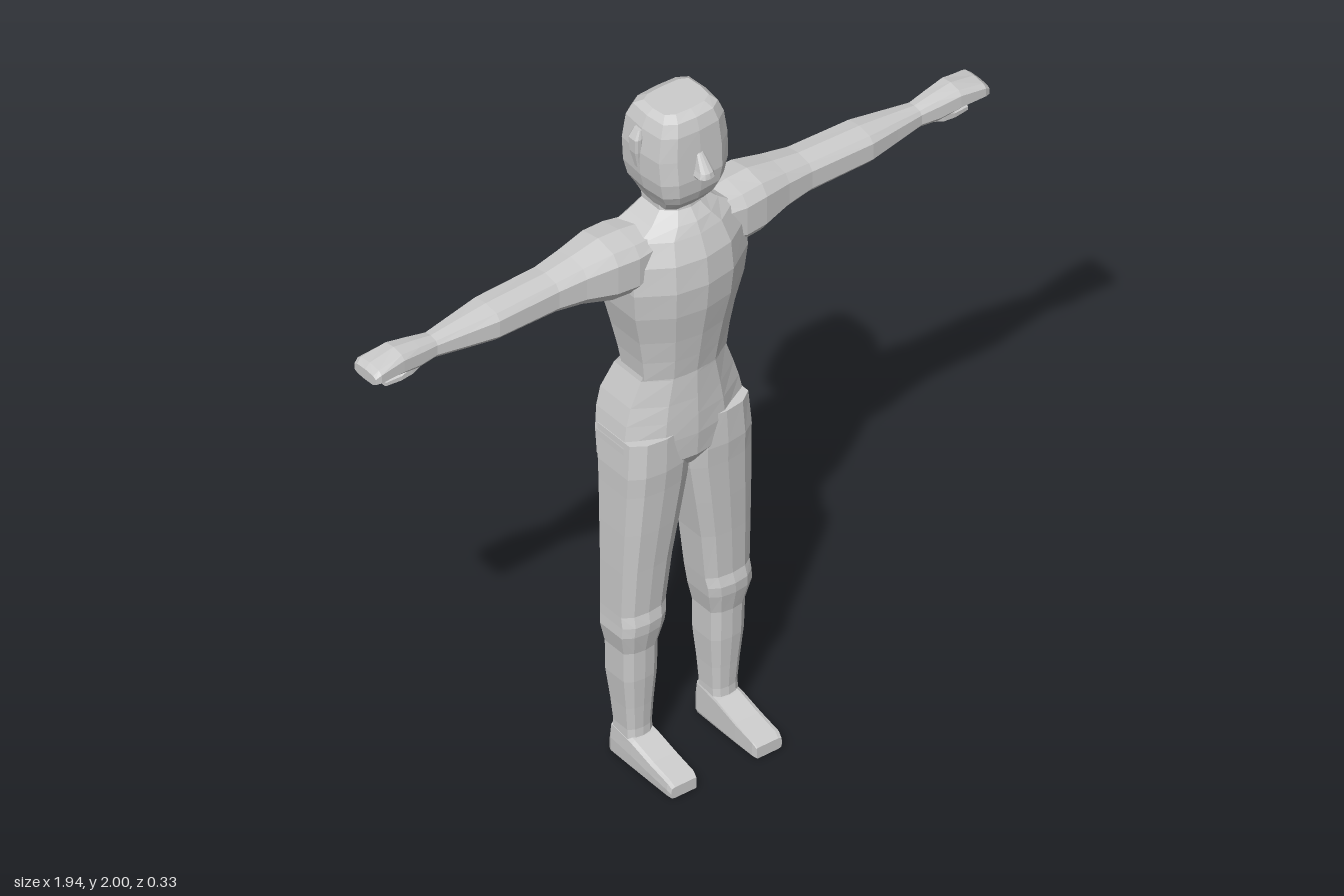
import * as THREE from 'three';

const material = new THREE.MeshStandardMaterial({ color: 0xcccccc, flatShading: true });

// Half outlines in unit (u, v), from u = +1 round to u = -1; mirrored across v.
const OUTLINES = {
  trunk: [[1, 0], [0.88, 0.5], [0.4, 1], [-0.75, 1], [-1, 0.5], [-0.93, 0]],
  limb: [[1, 0], [0.92, 0.6], [0.65, 1], [-0.7, 1], [-0.96, 0.6], [-1, 0]],
  arm: [[1, 0], [0.85, 0.75], [0.5, 1], [-0.5, 1], [-0.9, 0.7], [-1, 0]],
  head: [[1, 0], [0.95, 0.6], [0.7, 0.93], [0, 1], [-0.75, 0.95], [-0.96, 0.65], [-1, 0]],
  box: [[1, 0], [0.95, 0.85], [0.7, 1], [-0.95, 1], [-1, 0.85], [-1, 0]],
};

// Skins sections [t, uMin, uMax, vMin, vMax] along an axis.
// Axis y: u = z, v = x.  Axis x: u = y, v = z.  Axis z: u = x, v = y.
function loft(name, axis, outline, sections, side = 1) {
  const half = OUTLINES[outline];
  const ring = [...half, ...half.slice(1, -1).reverse().map(([u, v]) => [u, -v])];
  const n = ring.length;
  const rows = [...sections].sort((a, b) => a[0] - b[0]);
  const pos = [], index = [];
  const add = (t, u, v) => {
    const p = axis === 'y' ? [v, t, u] : axis === 'x' ? [t, u, v] : [u, v, t];
    pos.push(p[0] * side, p[1], p[2]);
  };
  const tri = (a, b, c) => (side > 0 ? index.push(a, b, c) : index.push(a, c, b));
  for (const [t, u0, u1, v0, v1] of rows) {
    for (const [u, v] of ring) {
      add(t, (u0 + u1) / 2 + (u * (u1 - u0)) / 2, (v0 + v1) / 2 + (v * (v1 - v0)) / 2);
    }
  }
  for (let i = 0; i < rows.length - 1; i++) {
    for (let j = 0; j < n; j++) {
      const a = i * n + j, b = i * n + ((j + 1) % n);
      tri(a, b, b + n);
      tri(a, b + n, a + n);
    }
  }
  // End caps
  const last = (rows.length - 1) * n;
  for (let j = 1; j < n - 1; j++) {
    tri(0, j + 1, j);
    tri(last, last + j, last + j + 1);
  }
  const geometry = new THREE.BufferGeometry();
  geometry.setAttribute('position', new THREE.Float32BufferAttribute(pos, 3));
  geometry.setIndex(index);
  geometry.computeVertexNormals();
  const mesh = new THREE.Mesh(geometry, material);
  mesh.name = name;
  return mesh;
}

export function createModel() {
  const body = new THREE.Group();
  body.name = 'figure';

  // Torso from the neck to the waist
  body.add(loft('torso', 'y', 'trunk', [
    [1.72, -0.11, 0.015, -0.07, 0.07],
    [1.69, -0.105, 0.02, -0.07, 0.07],
    [1.66, -0.12, 0.045, -0.105, 0.105],
    [1.63, -0.135, 0.06, -0.15, 0.15],
    [1.57, -0.145, 0.085, -0.175, 0.175],
    [1.49, -0.148, 0.093, -0.18, 0.18],
    [1.41, -0.147, 0.085, -0.172, 0.172],
    [1.32, -0.138, 0.067, -0.15, 0.15],
    [1.25, -0.125, 0.055, -0.137, 0.137],
    [1.19, -0.112, 0.045, -0.13, 0.13],
  ]));

  // Pelvis, stepping out at the back below the waist
  body.add(loft('pelvis', 'y', 'trunk', [
    [1.205, -0.12, 0.045, -0.13, 0.13],
    [1.185, -0.143, 0.046, -0.134, 0.134],
    [1.11, -0.165, 0.048, -0.163, 0.163],
    [1.06, -0.162, 0.05, -0.178, 0.178],
    [1.0, -0.15, 0.051, -0.19, 0.19],
    [0.93, -0.135, 0.046, -0.194, 0.194],
    [0.89, -0.1, 0.02, -0.15, 0.15],
  ]));

  // Head
  body.add(loft('head', 'y', 'head', [
    [2.0, -0.095, 0.02, -0.075, 0.075],
    [1.985, -0.122, 0.043, -0.093, 0.093],
    [1.95, -0.138, 0.055, -0.107, 0.107],
    [1.88, -0.143, 0.06, -0.117, 0.117],
    [1.81, -0.142, 0.065, -0.114, 0.114],
    [1.765, -0.135, 0.06, -0.104, 0.104],
    [1.735, -0.122, 0.048, -0.087, 0.087],
    [1.7, -0.108, 0.02, -0.07, 0.07],
  ]));
  body.add(loft('nose', 'y', 'limb', [
    [1.885, 0.03, 0.062, -0.01, 0.01],
    [1.84, 0.03, 0.097, -0.02, 0.02],
    [1.825, 0.03, 0.1, -0.025, 0.025],
    [1.812, 0.03, 0.068, -0.018, 0.018],
  ]));

  for (const side of [1, -1]) {
    const tag = side > 0 ? 'left' : 'right';

    body.add(loft(tag + 'Ear', 'y', 'limb', [
      [1.945, -0.065, -0.04, 0.1, 0.117],
      [1.92, -0.072, -0.034, 0.1, 0.13],
      [1.88, -0.068, -0.036, 0.1, 0.129],
      [1.83, -0.058, -0.042, 0.1, 0.118],
    ], side));

    // Arm stretched sideways
    body.add(loft(tag + 'Arm', 'x', 'arm', [
      [0.08, 1.52, 1.645, -0.12, 0.02],
      [0.17, 1.487, 1.655, -0.14, 0.032],
      [0.235, 1.49, 1.657, -0.138, 0.028],
      [0.32, 1.512, 1.638, -0.125, 0.01],
      [0.4, 1.522, 1.625, -0.115, 0.0],
      [0.59, 1.527, 1.622, -0.111, 0.003],
      [0.68, 1.535, 1.612, -0.097, -0.012],
      [0.77, 1.545, 1.602, -0.083, -0.026],
    ], side));

    // Hand with joined fingers and a thumb below
    body.add(loft(tag + 'Hand', 'x', 'arm', [
      [0.76, 1.545, 1.602, -0.083, -0.026],
      [0.82, 1.54, 1.612, -0.092, -0.019],
      [0.88, 1.55, 1.62, -0.1, -0.012],
      [0.955, 1.557, 1.606, -0.105, -0.008],
      [0.97, 1.56, 1.592, -0.1, -0.013],
    ], side));
    body.add(loft(tag + 'Thumb', 'x', 'limb', [
      [0.8, 1.54, 1.575, -0.07, -0.035],
      [0.84, 1.527, 1.56, -0.072, -0.03],
      [0.875, 1.525, 1.544, -0.07, -0.03],
      [0.92, 1.525, 1.54, -0.066, -0.036],
    ], side));

    // Leg down to the ankle
    body.add(loft(tag + 'Leg', 'y', 'limb', [
      [1.02, -0.145, 0.045, 0.0, 0.188],
      [0.92, -0.133, 0.047, 0.0, 0.196],
      [0.86, -0.127, 0.042, 0.004, 0.197],
      [0.74, -0.118, 0.035, 0.025, 0.2],
      [0.62, -0.11, 0.027, 0.046, 0.202],
      [0.48, -0.107, 0.02, 0.062, 0.203],
      [0.45, -0.106, 0.028, 0.066, 0.204],
      [0.42, -0.104, 0.026, 0.07, 0.206],
      [0.36, -0.1, 0.013, 0.084, 0.192],
      [0.27, -0.1, 0.011, 0.085, 0.19],
      [0.18, -0.09, 0.004, 0.092, 0.18],
      [0.11, -0.084, 0.0, 0.096, 0.174],
      [0.05, -0.085, 0.005, 0.095, 0.176],
    ], side));

    // Flat-soled foot tapering to the toes
    body.add(loft(tag + 'Foot', 'z', 'box', [
      [-0.09, 0.1, 0.172, 0, 0.05],
      [-0.078, 0.095, 0.177, 0, 0.1],
      [0.005, 0.093, 0.178, 0, 0.085],
      [0.08, 0.092, 0.178, 0, 0.062],
      [0.15, 0.092, 0.178, 0, 0.045],
      [0.165, 0.095, 0.175, 0, 0.033],
    ], side));
  }
  return body;
}
